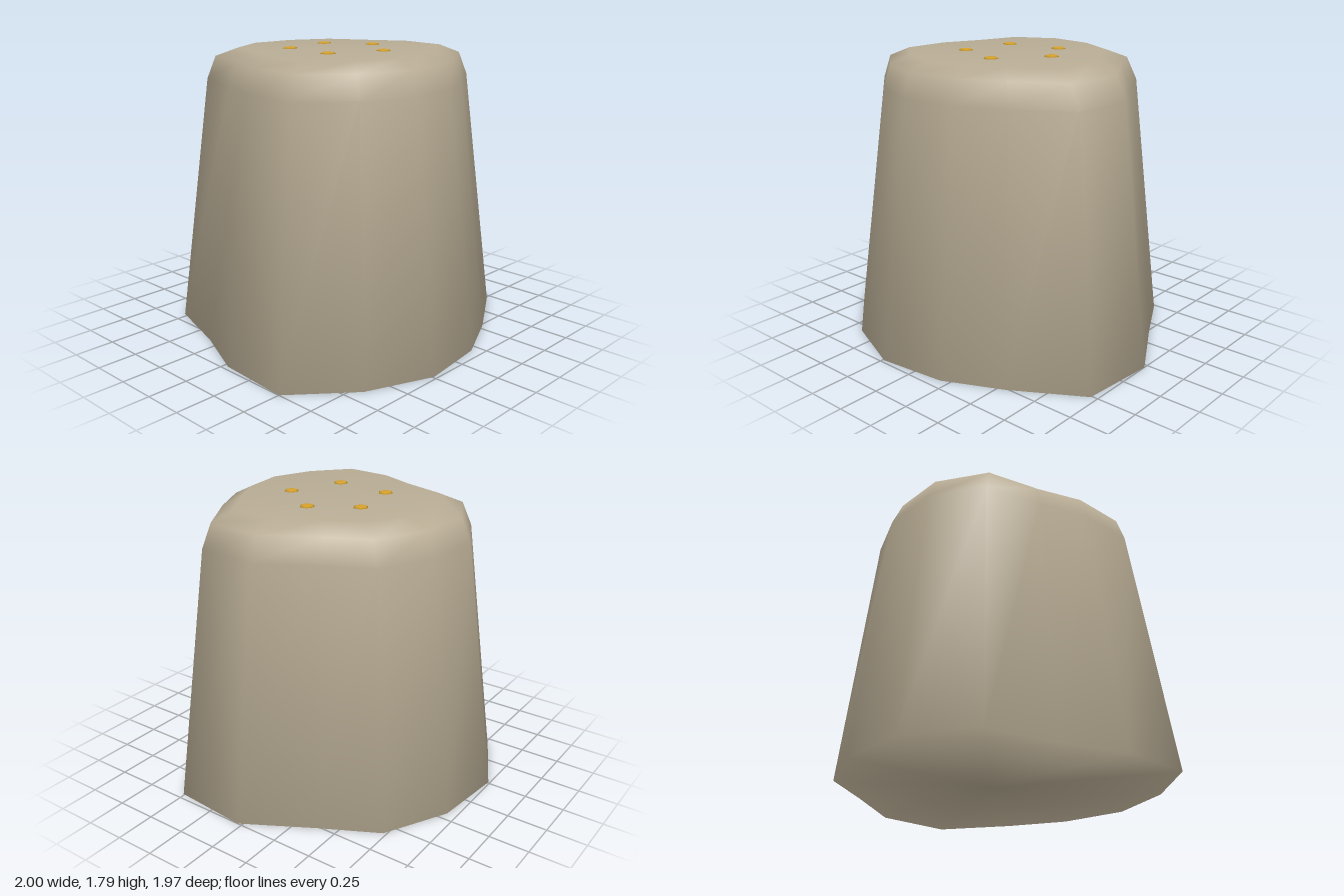
import * as THREE from 'three';

// Irregular outline of the base (x, z), clockwise seen from above
const OUTLINE = [
  [-0.26, -0.99], [0.19, -0.94], [0.58, -0.73], [0.76, -0.39], [1.0, 0.03],
  [0.96, 0.51], [0.55, 0.76], [0.19, 0.93], [-0.24, 0.98], [-0.65, 0.81],
  [-1.0, 0.5], [-0.97, 0.03], [-0.81, -0.34], [-0.67, -0.78],
];

// Rings from bottom to top: height, scale, x shift, z shift
const RINGS = [
  [0, 1, 0, 0],
  [1.58, 0.795, 0, 0],
  [1.72, 0.74, -0.01, 0.01],
  [1.775, 0.605, -0.02, 0.03],
];

// Closed, smoothly shaded loft through the rings
function loftGeometry() {
  const n = OUTLINE.length;
  const positions = [];
  const index = [];
  for (const [y, s, dx, dz] of RINGS) {
    for (const [x, z] of OUTLINE) positions.push(x * s + dx, y, z * s + dz);
  }
  const bottom = n * RINGS.length;
  const top = bottom + 1;
  positions.push(0, 0, 0, 0, 1.775, 0);
  const last = (RINGS.length - 1) * n;
  for (let i = 0; i < n; i++) {
    const j = (i + 1) % n;
    for (let r = 0; r < last; r += n) {
      index.push(r + i, r + n + i, r + j, r + j, r + n + i, r + n + j);
    }
    index.push(bottom, i, j, top, last + j, last + i);
  }
  const geometry = new THREE.BufferGeometry();
  geometry.setAttribute('position', new THREE.Float32BufferAttribute(positions, 3));
  geometry.setIndex(index);
  geometry.computeVertexNormals();
  return geometry;
}

export function createModel() {
  const stone = new THREE.MeshStandardMaterial({ color: 0xb8ac94 });
  stone.name = 'stone';
  const gold = new THREE.MeshStandardMaterial({ color: 0xd4a02c });
  gold.name = 'gold';

  const model = new THREE.Group();
  model.name = 'stoneBlock';

  // Tapered stone body
  const body = new THREE.Mesh(loftGeometry(), stone);
  body.name = 'body';
  model.add(body);

  // Flattened gold studs set in the top
  const studGeometry = new THREE.SphereGeometry(0.047, 6, 4);
  studGeometry.rotateY(Math.PI / 2);
  studGeometry.scale(1, 0.25, 1);
  const studs = [[-0.24, -0.18], [0.11, -0.235], [0.27, 0.03], [0.05, 0.315], [-0.28, 0.18]];
  studs.forEach(([x, z], i) => {
    const stud = new THREE.Mesh(studGeometry, gold);
    stud.name = `stud${i + 1}`;
    stud.position.set(x, 1.775, z);
    model.add(stud);
  });
  return model;
}
